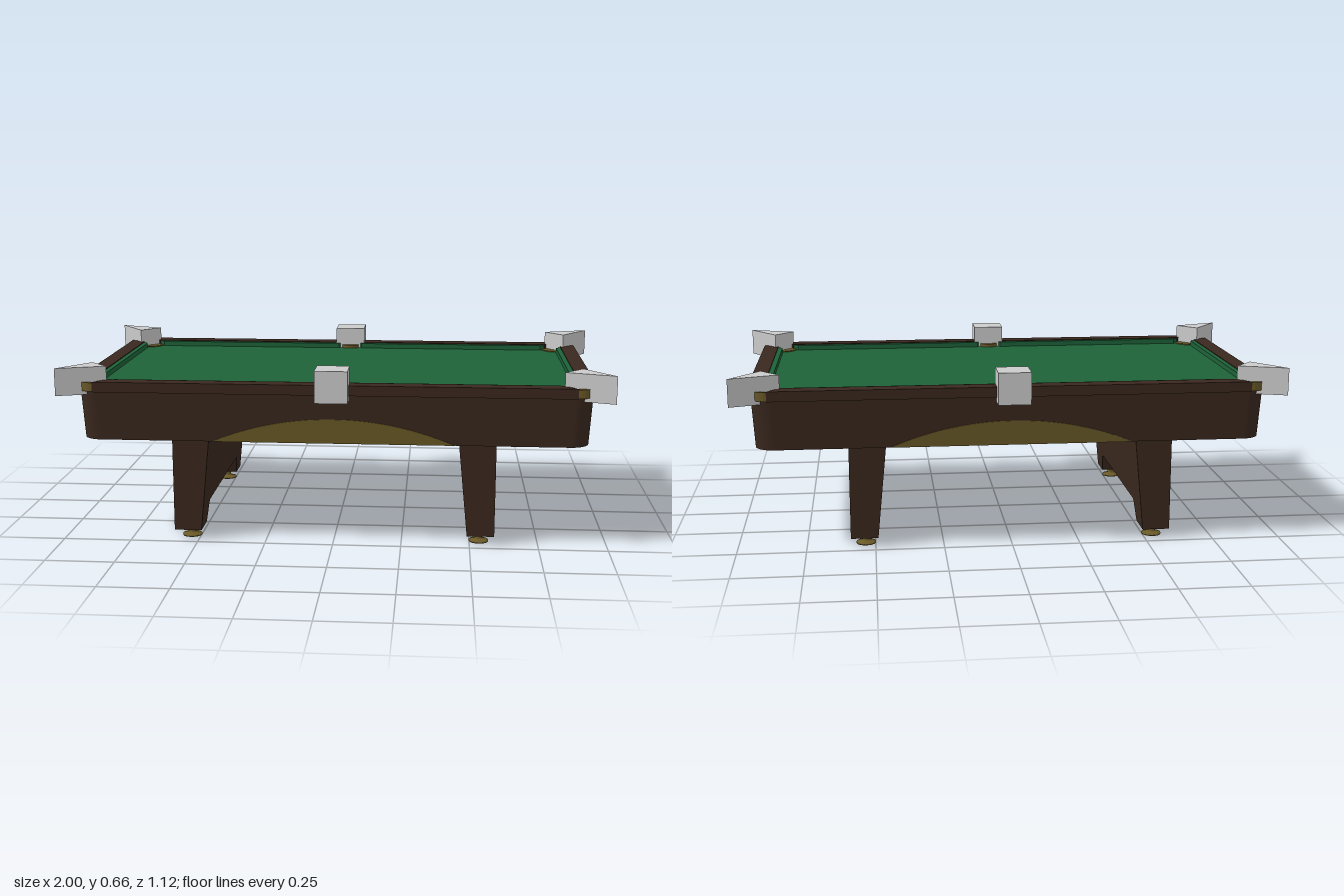
import * as THREE from 'three';

const mat = (color) => new THREE.MeshStandardMaterial({ color, roughness: 0.8, flatShading: false });

export function createModel() {
  const table = new THREE.Group();
  table.name = 'poolTable';
  const wood = mat(0x3a281e), felt = mat(0x1d6238), brass = mat(0x6b5a28), grey = mat(0xcccccc);
  const SIGNS = [1, -1];

  const add = (name, geometry, material) => {
    const mesh = new THREE.Mesh(geometry, material);
    mesh.name = name;
    table.add(mesh);
    return mesh;
  };

  // Extrudes a plan outline (shape y = -z) between two heights
  const slabOf = (shape, y0, y1) =>
    new THREE.ExtrudeGeometry(shape, { depth: y1 - y0, bevelEnabled: false, curveSegments: 10 })
      .rotateX(-Math.PI / 2).translate(0, y0, 0);
  const slab = (points, y0, y1, sx = 1, sz = 1) =>
    slabOf(new THREE.Shape(points.map(([x, z]) => new THREE.Vector2(x * sx, -z * sz))), y0, y1);

  const moveVertices = (geometry, rule) => {
    const p = geometry.attributes.position, v = new THREE.Vector3();
    for (let i = 0; i < p.count; i++) {
      rule(v.fromBufferAttribute(p, i));
      p.setXYZ(i, v.x, v.y, v.z);
    }
    geometry.computeVertexNormals();
    return geometry;
  };

  const roundedRect = (path, w, d, r) => {
    path.moveTo(w - r, -d);
    path.absarc(w - r, -d + r, r, -Math.PI / 2, 0);
    path.absarc(w - r, d - r, r, 0, Math.PI / 2);
    path.absarc(-w + r, d - r, r, Math.PI / 2, Math.PI);
    path.absarc(-w + r, -d + r, r, Math.PI, Math.PI * 1.5);
    path.closePath();
    return path;
  };

  // Hollow apron with rounded corners, narrowing a little downwards
  const apronShape = roundedRect(new THREE.Shape(), 0.93, 0.5, 0.07);
  apronShape.holes.push(roundedRect(new THREE.Path(), 0.905, 0.482, 0.055));
  const apron = slabOf(apronShape, 0.38, 0.56);
  const lean = (y) => (0.56 - y) / 0.18 * 0.01;
  add('apron', moveVertices(apron, (v) => {
    v.x -= Math.sign(v.x) * lean(v.y);
    v.z -= Math.sign(v.z) * lean(v.y);
  }), wood);

  // Playing bed
  add('bed', new THREE.BoxGeometry(1.78, 0.025, 0.92).translate(0, 0.5625, 0), felt);

  for (const s of SIGNS) {
    // Rails with slanted ends at the corner pockets
    add('longRail', slab([[-0.87, 0.512], [0.87, 0.512], [0.825, 0.452], [-0.825, 0.452]], 0.56, 0.597, 1, s), wood);
    add('shortRail', slab([[0.943, -0.437], [0.943, 0.437], [0.885, 0.4], [0.885, -0.4]], 0.56, 0.597, s, 1), wood);

    // Cushions, split at the side pockets
    add('shortCushion', slab([[0.886, -0.4], [0.886, 0.4], [0.866, 0.38], [0.866, -0.38]], 0.57, 0.594, s, 1), felt);
    for (const t of SIGNS)
      add('longCushion', slab([[0.04, 0.454], [0.825, 0.454], [0.805, 0.435], [0.048, 0.435]], 0.57, 0.594, t, s), felt);

    // Brass arch panel following the lean of the apron
    const half = 0.44, rise = 0.09, R = (half * half + rise * rise) / (2 * rise);
    const a = Math.asin(half / R);
    const arch = new THREE.Shape();
    arch.absarc(0, 0.47 - R, R, Math.PI / 2 - a, Math.PI / 2 + a);
    const archGeo = new THREE.ExtrudeGeometry(arch, { depth: 0.006, bevelEnabled: false, curveSegments: 40 });
    moveVertices(archGeo, (v) => { v.z += 0.497 - lean(v.y); });
    add('archPanel', s > 0 ? archGeo : archGeo.rotateY(Math.PI), brass);

    // Leg panel: cut out below, inner face tapered
    const side = [[0.47, 0.55], [0.47, 0.035], [0.367, 0.035], [0.356, 0.042], [0.332, 0.098], [0.326, 0.108], [0.314, 0.112]];
    const outline = [...side, ...side.map(([z, y]) => [-z, y]).reverse()];
    const leg = new THREE.ExtrudeGeometry(new THREE.Shape(outline.map(([z, y]) => new THREE.Vector2(z, y))),
      { depth: 1, bevelEnabled: false }).rotateY(Math.PI / 2);
    moveVertices(leg, (v) => {
      const inner = 0.49 - (v.y - 0.035) * 0.1;
      v.x = v.x > 0.5 ? 0.59 : inner;
    });
    add('legPanel', s > 0 ? leg : leg.rotateY(Math.PI), wood);

    // Side pocket and its grey block
    add('sidePocket', new THREE.CylinderGeometry(0.04, 0.04, 0.025, 24).translate(0, 0.575, s * 0.465), brass);
    add('sideBlock', new THREE.BoxGeometry(0.118, 0.116, 0.115).translate(0, 0.599, s * 0.503), grey);
  }

  // Feet, corner pockets and corner wedges
  const footProfile = [[0, 0], [0.036, 0], [0.036, 0.005], [0.016, 0.01], [0.013, 0.014], [0.013, 0.028], [0.018, 0.036]]
    .map(([r, y]) => new THREE.Vector2(r, y));
  for (const sx of SIGNS) for (const sz of SIGNS) {
    const foot = add('foot', new THREE.LatheGeometry(footProfile, 20), brass);
    foot.position.set(sx * 0.535, 0, sz * 0.41);

    const cx = sx * 0.872, cz = sz * 0.447;
    const out = Math.atan2(-sz, sx), span = Math.PI * 0.68;
    const ring = new THREE.Shape();
    ring.absarc(cx, -cz, 0.063, out - span, out + span, false);
    ring.absarc(cx, -cz, 0.048, out + span, out - span, true);
    add('cornerPocketRim', slabOf(ring, 0.562, 0.594), brass);
    add('cornerPocketFloor', new THREE.CylinderGeometry(0.06, 0.06, 0.018, 28).translate(cx, 0.57, cz), brass);

    add('cornerWedge', slab([[1, 0.528], [0.825, 0.468], [0.895, 0.39]], 0.547, 0.648, sx, sz), grey);
  }

  return table;
}
